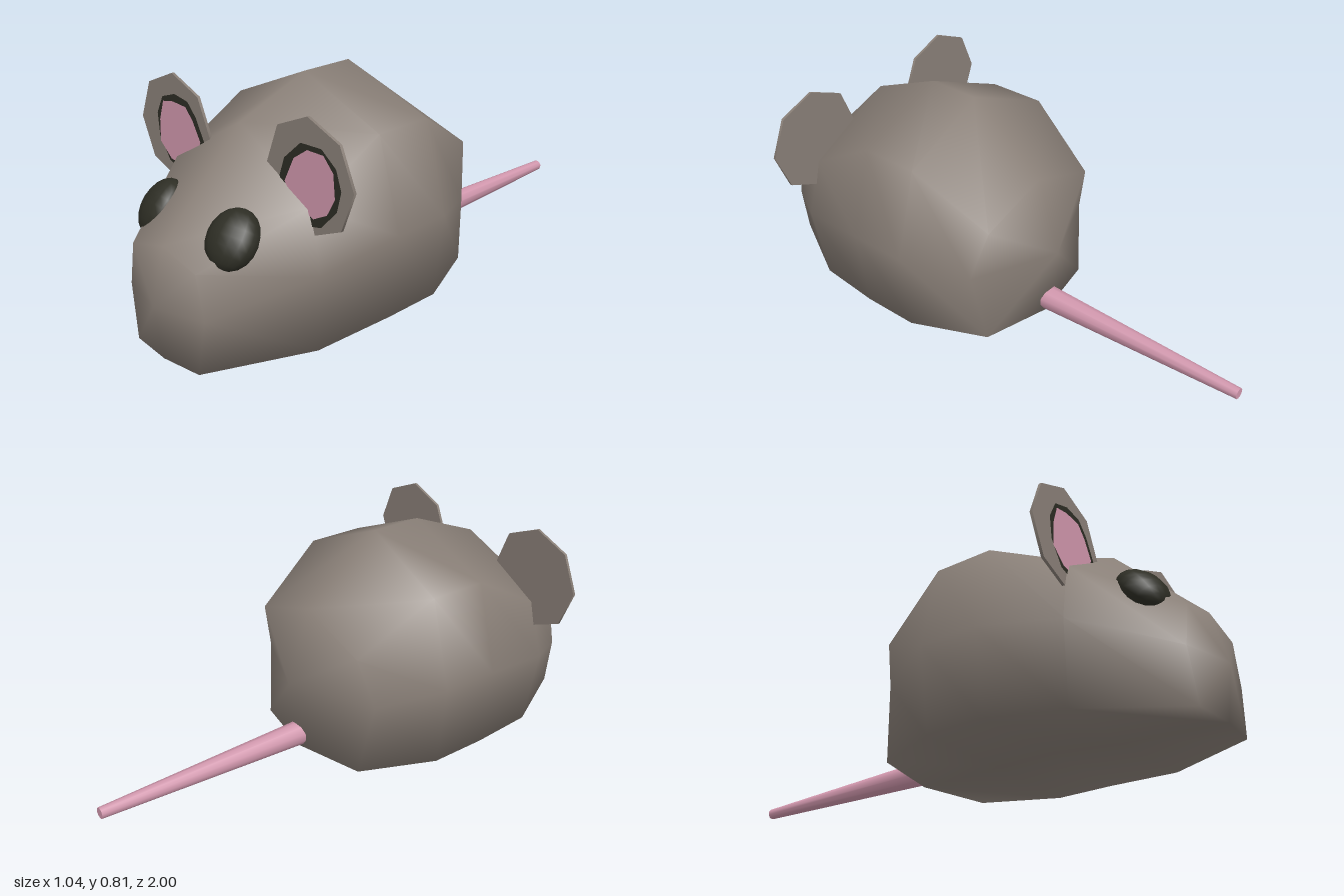
import * as THREE from 'three';

const material = (name, color) => {
  const m = new THREE.MeshStandardMaterial({ color });
  m.name = name;
  return m;
};

// Half cross-sections from back to front; each runs top, upper corner, side, lower corner, bottom.
const SECTIONS = [
  [[0, 0.59, -0.15], [0.27, 0.50, -0.15], [0.31, 0.31, -0.1], [0.27, 0.05, -0.14], [0, 0.05, -0.2]],
  [[0, 0.81, 0.15], [0.34, 0.67, 0.13], [0.425, 0.35, 0.13], [0.385, 0.045, 0.13], [0, 0.05, 0.13]],
  [[0, 0.81, 0.35], [0.34, 0.67, 0.35], [0.425, 0.35, 0.35], [0.385, 0.045, 0.35], [0, 0.05, 0.35]],
  [[0, 0.70, 0.63], [0.33, 0.51, 0.64], [0.38, 0.3, 0.65], [0.34, 0.02, 0.63], [0, 0.02, 0.62]],
  [[0, 0.38, 0.95], [0.16, 0.34, 0.95], [0.19, 0.19, 0.95], [0.16, 0.002, 0.96], [0, 0, 0.975]],
];

function bodyGeometry() {
  const points = [], index = [], n = 8;
  for (const half of SECTIONS) {
    const mirrored = half.slice(1, 4).reverse().map(([x, y, z]) => [-x, y, z]);
    points.push(...half, ...mirrored);
  }
  const last = (SECTIONS.length - 1) * n;
  const rump = points.push([0, 0.32, -0.24]) - 1;
  const nose = points.push([0, 0.19, 1]) - 1;
  for (let j = 0; j < n; j++) {
    const k = (j + 1) % n;
    for (let a = 0; a < last; a += n) {
      index.push(a + j, a + n + j, a + k, a + k, a + n + j, a + n + k);
    }
    index.push(rump, j, k, nose, last + k, last + j);
  }
  const g = new THREE.BufferGeometry();
  g.setAttribute('position', new THREE.Float32BufferAttribute(points.flat(), 3));
  g.setIndex(index);
  g.computeVertexNormals();
  return g;
}

// Flat patch outlined by front-facing points
const patch = (outline) =>
  new THREE.ShapeGeometry(new THREE.Shape(outline.map(([x, y]) => new THREE.Vector2(x, y))));

// The two inner ears are slightly different in shape
const INNER_EARS = {
  left: {
    rim: [[0.20, 0.58], [0.225, 0.645], [0.30, 0.71], [0.39, 0.712], [0.45, 0.665], [0.47, 0.60], [0.45, 0.53], [0.38, 0.46], [0.33, 0.45], [0.25, 0.50]],
    inner: [[0.225, 0.57], [0.27, 0.655], [0.33, 0.695], [0.40, 0.695], [0.44, 0.65], [0.445, 0.57], [0.41, 0.51], [0.35, 0.48], [0.27, 0.51]],
  },
  right: {
    rim: [[-0.17, 0.59], [-0.21, 0.67], [-0.25, 0.715], [-0.32, 0.727], [-0.39, 0.705], [-0.425, 0.64], [-0.42, 0.56], [-0.37, 0.48], [-0.30, 0.46], [-0.20, 0.53]],
    inner: [[-0.19, 0.59], [-0.225, 0.655], [-0.26, 0.695], [-0.33, 0.70], [-0.385, 0.69], [-0.41, 0.62], [-0.415, 0.54], [-0.36, 0.49], [-0.30, 0.48], [-0.21, 0.54]],
  },
};

export function createModel() {
  const fur = material('greyFur', 0x8a8078);
  const pink = material('pinkSkin', 0xd197ad);
  const dark = material('darkEye', 0x2d2d24);
  const model = new THREE.Group();
  model.name = 'mouse';

  const add = (name, geometry, mat, parent = model) => {
    const mesh = new THREE.Mesh(geometry, mat);
    mesh.name = name;
    parent.add(mesh);
    return mesh;
  };

  add('body', bodyGeometry(), fur);

  // Tapered tail lying straight behind
  const tail = add('tail', new THREE.CylinderGeometry(0.045, 0.02, 0.8, 10), pink);
  tail.rotation.x = Math.PI / 2;
  tail.position.set(0, 0.105, -0.6);

  for (const [side, s] of [['left', 1], ['right', -1]]) {
    // Thin eight-sided ear with a dark-edged pink centre
    const ear = new THREE.Group();
    ear.name = side + 'Ear';
    model.add(ear);
    const disc = add(side + 'EarDisc', new THREE.CylinderGeometry(0.19, 0.19, 0.01, 8), fur, ear);
    disc.rotation.x = Math.PI / 2;
    disc.position.set(s * 0.33, 0.607, 0.638);
    add(side + 'EarRim', patch(INNER_EARS[side].rim), dark, ear).position.z = 0.645;
    add(side + 'InnerEar', patch(INNER_EARS[side].inner), pink, ear).position.z = 0.647;

    // Eye flattened against the sloping face
    const eye = add(side + 'Eye', new THREE.SphereGeometry(1, 14, 10), dark);
    eye.scale.set(0.087, 0.1, 0.06);
    eye.position.set(s * 0.182, 0.418, 0.82);
    eye.quaternion.setFromUnitVectors(
      new THREE.Vector3(0, 0, 1),
      new THREE.Vector3(s * 0.3, 0.62, 0.72).normalize());
  }
  return model;
}
